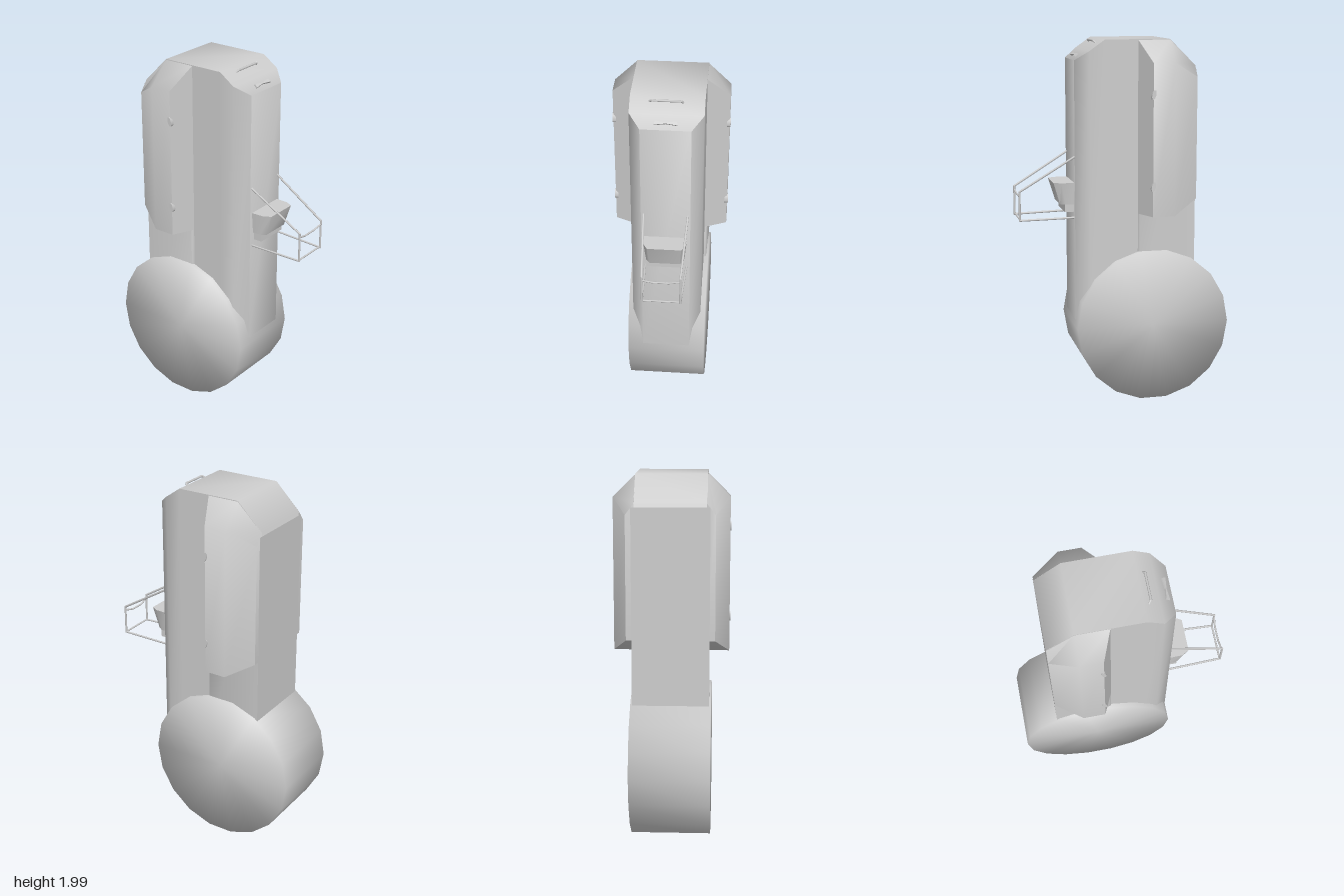
import * as THREE from 'three';
import { mergeVertices, toCreasedNormals } from 'three/addons/utils/BufferGeometryUtils.js';

const V = (x, y, z) => new THREE.Vector3(x, y, z);

// Upright prism from a ring of [x, z, bottom, top], anticlockwise from above.
// Caps are strips between the first half of the ring and the second half.
function prism(ring, move) {
  const n = ring.length, pos = [], idx = [];
  ring.forEach(([x, z, b, t]) => pos.push(x, b, z, x, t, z));
  const quad = (a, b, c, d) => idx.push(a, b, c, a, c, d);
  for (let i = 0; i < n; i++) {
    const j = (i + 1) % n;
    quad(2 * i, 2 * j, 2 * j + 1, 2 * i + 1);
  }
  for (let i = 0; i < n / 2 - 1; i++) {
    const k = [i, i + 1, n - 2 - i, n - 1 - i];
    quad(...k.map(v => 2 * v + 1));
    quad(...k.reverse().map(v => 2 * v));
  }
  const geo = new THREE.BufferGeometry();
  geo.setAttribute('position', new THREE.Float32BufferAttribute(pos, 3));
  geo.setIndex(idx);
  if (move) {
    const p = geo.attributes.position;
    for (let i = 0; i < p.count; i++) p.setXYZ(i, ...move(p.getX(i), p.getY(i), p.getZ(i)));
  }
  return toCreasedNormals(geo, 1.0);
}

const flip = ring => ring.map(([x, ...rest]) => [-x, ...rest]).reverse();
const mirrored = half => [...half, ...flip(half)];

export function createModel() {
  const group = new THREE.Group();
  const gray = new THREE.MeshStandardMaterial({ color: 0xcccccc });
  gray.name = 'light gray';

  const add = (name, geo, parent = group) => {
    const mesh = new THREE.Mesh(geo, gray);
    mesh.name = name;
    parent.add(mesh);
    return mesh;
  };
  // Thin square-ish bar following straight segments
  const rod = (name, points, r, parent) => {
    const part = new THREE.Group();
    part.name = name;
    for (let i = 0; i < points.length - 1; i++) {
      const a = points[i], d = points[i + 1].clone().sub(a);
      const seg = add(name + 'Segment', new THREE.CylinderGeometry(r, r, d.length() + r, 6), part);
      seg.position.copy(a).addScaledVector(d, 0.5);
      seg.quaternion.setFromUnitVectors(V(0, 1, 0), d.normalize());
    }
    parent.add(part);
  };

  // Wide round base, shaded softly over its rims
  let drum = new THREE.CylinderGeometry(0.428, 0.428, 0.43, 18);
  drum.deleteAttribute('normal');
  drum.deleteAttribute('uv');
  drum = mergeVertices(drum, 1e-4);
  drum.computeVertexNormals();
  drum.rotateZ(Math.PI / 2);
  add('baseDrum', drum).position.set(0, 0.43, -0.152);

  // Tall body with chamfered front corners and sloping top ends
  add('body', prism(mirrored([
    [0.13, 0.27, 0.45, 1.89], [0.19, 0.2, 0.45, 1.94], [0.19, 0.115, 0.45, 2],
    [0.19, -0.24, 0.45, 2], [0.19, -0.38, 0.45, 1.86],
  ])));

  // Wider lower section of the body, below the side pods
  add('lowerBody', prism(mirrored([
    [0.185, -0.063, 0.6, 1.2], [0.203, -0.075, 0.6, 1.2], [0.206, -0.384, 0.6, 1.84],
  ])));

  // Side pods with their studs
  const pod = [
    [0.31, -0.12, 1.06, 1.88], [0.31, -0.24, 1.06, 1.88], [0.235, -0.382, 1.14, 1.8],
    [0.188, -0.382, 1.14, 1.86], [0.188, -0.24, 1.06, 1.998], [0.188, -0.065, 1.06, 1.998],
  ];
  for (const side of [1, -1]) {
    const label = side > 0 ? 'left' : 'right';
    add(label + 'Pod', prism(side > 0 ? pod : flip(pod)));
    for (const y of [1.715, 1.225]) {
      const stud = add(label + 'PodStud', new THREE.CylinderGeometry(0.011, 0.011, 0.02, 10).rotateZ(Math.PI / 2));
      stud.scale.y = 2.4;
      stud.position.set(side * 0.305, y, -0.122);
      stud.rotation.x = -0.25;
    }
  }

  // Front bucket, narrowing downwards, on a small foot
  const bucketRing = mirrored([
    [0.09, 0.38, 1.11, 1.23], [0.112, 0.34, 1.11, 1.23], [0.115, 0.26, 1.11, 1.23],
  ]);
  add('bucket', prism(bucketRing, (x, y, z) =>
    y < 1.15 ? [x * 0.9, y, 0.26 + (z - 0.26) * 0.7] : [x, y, z]));
  const foot = add('bucketFoot', new THREE.BoxGeometry(0.19, 0.045, 0.06));
  foot.position.set(0, 1.09, 0.29);

  // Rod cage around the bucket
  const cage = new THREE.Group();
  cage.name = 'cage';
  group.add(cage);
  for (const s of [1, -1]) {
    rod('cageSide', [
      V(s * 0.117, 1.375, 0.265), V(s * 0.1, 1.19, 0.568),
      V(s * 0.1, 1.032, 0.568), V(s * 0.112, 1.038, 0.265),
    ], 0.006, cage);
  }
  rod('cageUpperBar', [V(-0.1, 1.17, 0.568), V(-0.04, 1.155, 0.562), V(0.04, 1.155, 0.562), V(0.1, 1.17, 0.568)], 0.005, cage);
  rod('cageLowerBar', [V(-0.1, 1.035, 0.566), V(0.1, 1.035, 0.566)], 0.005, cage);

  // Grab handle standing on the front slope
  rod('topHandle', [
    V(-0.095, 1.975, 0.137), V(-0.075, 1.99, 0.153), V(0.07, 1.99, 0.153), V(0.082, 1.975, 0.14),
  ], 0.006, group);

  // Bow shaped latch lying on the front slope
  const bow = new THREE.Shape([
    [-0.06, -0.011], [0, -0.003], [0.06, -0.011], [0.055, 0.011], [0, 0.003], [-0.055, 0.011],
  ].map(([x, y]) => new THREE.Vector2(x, y)));
  const latch = add('latch', new THREE.ExtrudeGeometry(bow, { depth: 0.009, bevelEnabled: false }));
  latch.position.set(0, 1.911, 0.24);
  latch.rotation.x = -0.955;

  return group;
}
